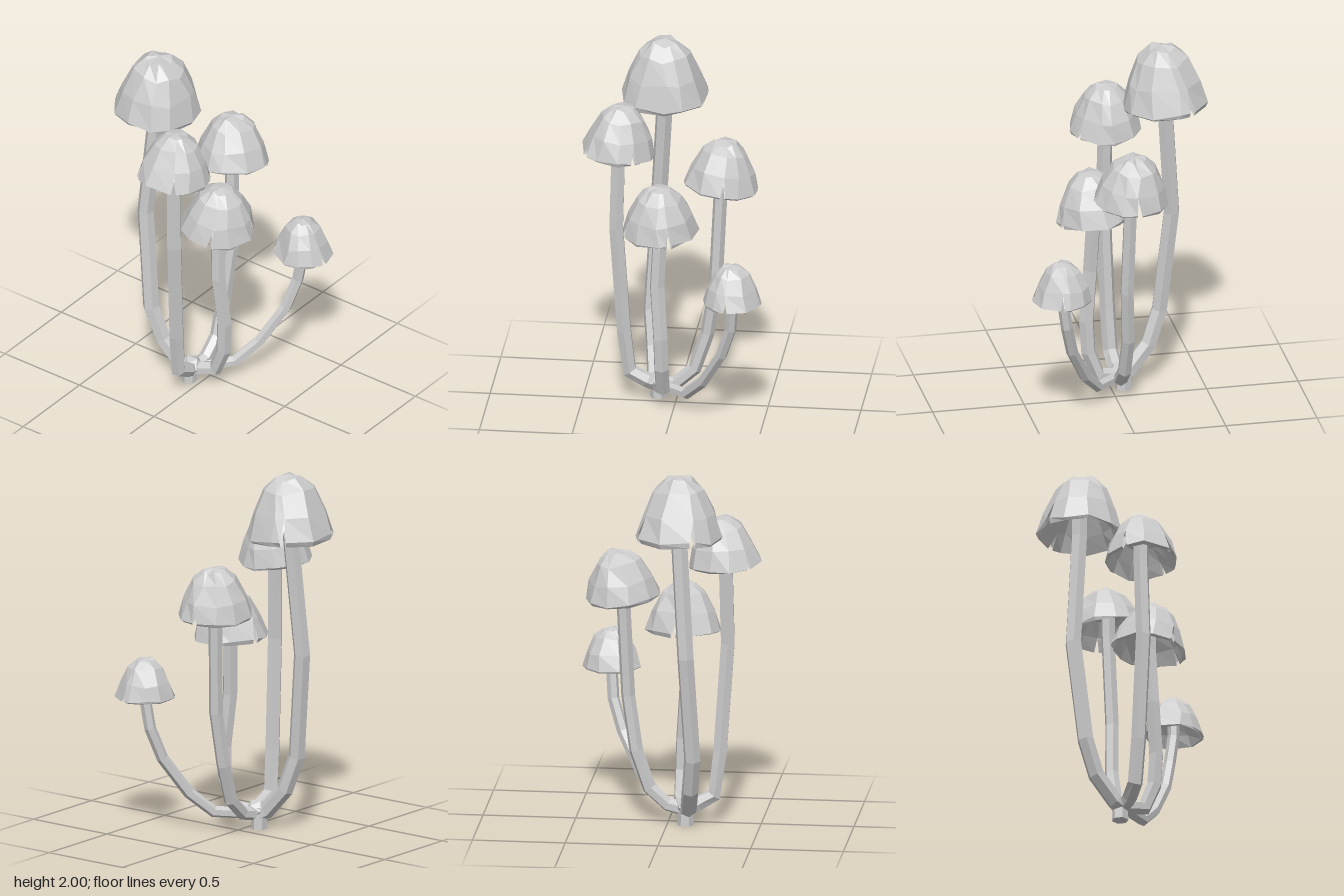
import * as THREE from 'three';

const material = new THREE.MeshStandardMaterial({
  color: 0xcccccc, flatShading: true, side: THREE.DoubleSide,
});
const vec = (x, y, z) => new THREE.Vector3(x, y, z);
const ROOT = vec(-0.05, 0.08, 0.1);
const SIDES = 11;

// Cap profile from apex, over the dome to the rim, then up the hollow underside
const RADII = [0, 0.3, 0.59, 0.84, 1, 0.94, 0.75, 0.5, 0.14];
const HEIGHTS = [1, 0.95, 0.77, 0.42, 0.05, 0, 0.25, 0.5, 0.6];
const RIM = 4;

function seeded(seed) {
  return () => {
    seed = (seed * 16807) % 2147483647;
    return seed / 2147483647 - 0.5;
  };
}

// Hollow faceted dome whose rim is split open at the notches (in degrees)
function capGeometry(r, h, notches, seed) {
  const rnd = seeded(seed);
  const torn = new Map(notches.map((deg) => [Math.round((deg / 360) * SIDES) % SIDES, deg]));
  const columns = [];
  for (let j = 0; j < SIDES; j++) {
    const isTorn = torn.has(j);
    const degrees = isTorn ? torn.get(j) : ((j + rnd() * 0.3) / SIDES) * 360;
    const base = RADII.map((pr, i) => ({
      radius: pr * r * (1 + rnd() * 0.07),
      y: (HEIGHTS[i] + (pr ? rnd() * 0.07 : 0)) * h,
      angle: THREE.MathUtils.degToRad(degrees) + (i < RIM ? rnd() * 0.2 : 0),
    }));
    for (const side of isTorn ? [-1, 1] : [0]) {
      const points = base.map(({ radius, y, angle }, i) => {
        const a = angle + (i === RIM || i === RIM + 1 ? side * 0.07 : 0);
        return [Math.cos(a) * radius, y, Math.sin(a) * radius];
      });
      columns.push({ points, opensNext: side === -1 });
    }
  }
  const positions = [];
  columns.forEach(({ points: a, opensNext }, j) => {
    const b = columns[(j + 1) % columns.length].points;
    for (let i = 0; i < RADII.length - 1; i++) {
      if (opensNext && Math.abs(i - RIM) <= 1) continue;
      positions.push(...a[i], ...b[i], ...a[i + 1], ...b[i], ...b[i + 1], ...a[i + 1]);
    }
  });
  const geometry = new THREE.BufferGeometry();
  geometry.setAttribute('position', new THREE.Float32BufferAttribute(positions, 3));
  geometry.computeVertexNormals();
  return geometry;
}

// Six-sided tube with one ring at each path point
function stemGeometry(points, radius) {
  const curve = new THREE.CatmullRomCurve3(points);
  curve.getPointAt = curve.getPoint;
  curve.getTangentAt = curve.getTangent;
  return new THREE.TubeGeometry(curve, points.length - 1, radius, 6, false);
}

function addMesh(parent, name, geometry, position = vec(0, 0, 0)) {
  const mesh = new THREE.Mesh(geometry, material);
  mesh.name = name;
  mesh.position.copy(position);
  parent.add(mesh);
  return mesh;
}

// One mushroom: the stem runs from the shared root through its bends into the cap
function addMushroom(model, { name, centre, r, h, tiltX = 0, tiltZ = 0, notches, stemRadius, bends }) {
  const mushroom = new THREE.Group();
  mushroom.name = name;
  const top = centre.clone().setY(centre.y + h * 0.63);
  addMesh(mushroom, 'stem', stemGeometry([ROOT, ...bends, centre, top], stemRadius));
  const cap = addMesh(mushroom, 'cap', capGeometry(r, h, notches, Math.round(centre.y * 1000)), centre);
  cap.rotation.set(tiltX, 0, tiltZ);
  model.add(mushroom);
}

export function createModel() {
  const model = new THREE.Group();
  model.name = 'mushroomCluster';

  addMushroom(model, {
    name: 'tallMushroom', centre: vec(-0.29, 1.65, 0.09), r: 0.236, h: 0.35, tiltZ: -0.05,
    notches: [242, 155], stemRadius: 0.046,
    bends: [vec(-0.1, 0.1, 0.12), vec(-0.21, 0.23, 0.14), vec(-0.275, 0.42, 0.16), vec(-0.335, 1, 0.13)],
  });
  addMushroom(model, {
    name: 'frontMushroom', centre: vec(-0.01, 1.435, 0.31), r: 0.2, h: 0.275, tiltX: -0.1,
    notches: [54, 133, 329], stemRadius: 0.042,
    bends: [vec(-0.03, 0.11, 0.16), vec(-0.025, 0.16, 0.25), vec(-0.015, 0.4, 0.28), vec(0, 1, 0.32)],
  });
  addMushroom(model, {
    name: 'backMushroom', centre: vec(-0.035, 1.245, -0.24), r: 0.205, h: 0.275, tiltX: -0.1, tiltZ: 0.06,
    notches: [267, 352], stemRadius: 0.038,
    bends: [vec(-0.03, 0.1, 0), vec(-0.03, 0.19, -0.1), vec(-0.035, 0.4, -0.17), vec(-0.02, 0.7, -0.215)],
  });
  addMushroom(model, {
    name: 'middleMushroom', centre: vec(0.105, 1.03, 0.07), r: 0.204, h: 0.275, tiltZ: -0.1,
    notches: [340, 68, 190], stemRadius: 0.042,
    bends: [vec(0.08, 0.11, 0.06), vec(0.135, 0.25, 0.06), vec(0.145, 0.43, 0.065), vec(0.12, 0.72, 0.085)],
  });
  addMushroom(model, {
    name: 'smallMushroom', centre: vec(0.36, 0.745, -0.347), r: 0.16, h: 0.225,
    notches: [282, 8, 147], stemRadius: 0.032,
    bends: [vec(0.11, 0.1, -0.07), vec(0.2, 0.21, -0.17), vec(0.295, 0.41, -0.28), vec(0.335, 0.58, -0.335)],
  });

  // Short root stub where all stems meet
  addMesh(model, 'root', new THREE.CylinderGeometry(0.04, 0.045, 0.12, 6), vec(-0.065, 0.06, 0.1));
  addMesh(model, 'rootKnot', new THREE.IcosahedronGeometry(0.06, 0), vec(-0.045, 0.1, 0.1));

  return model;
}
